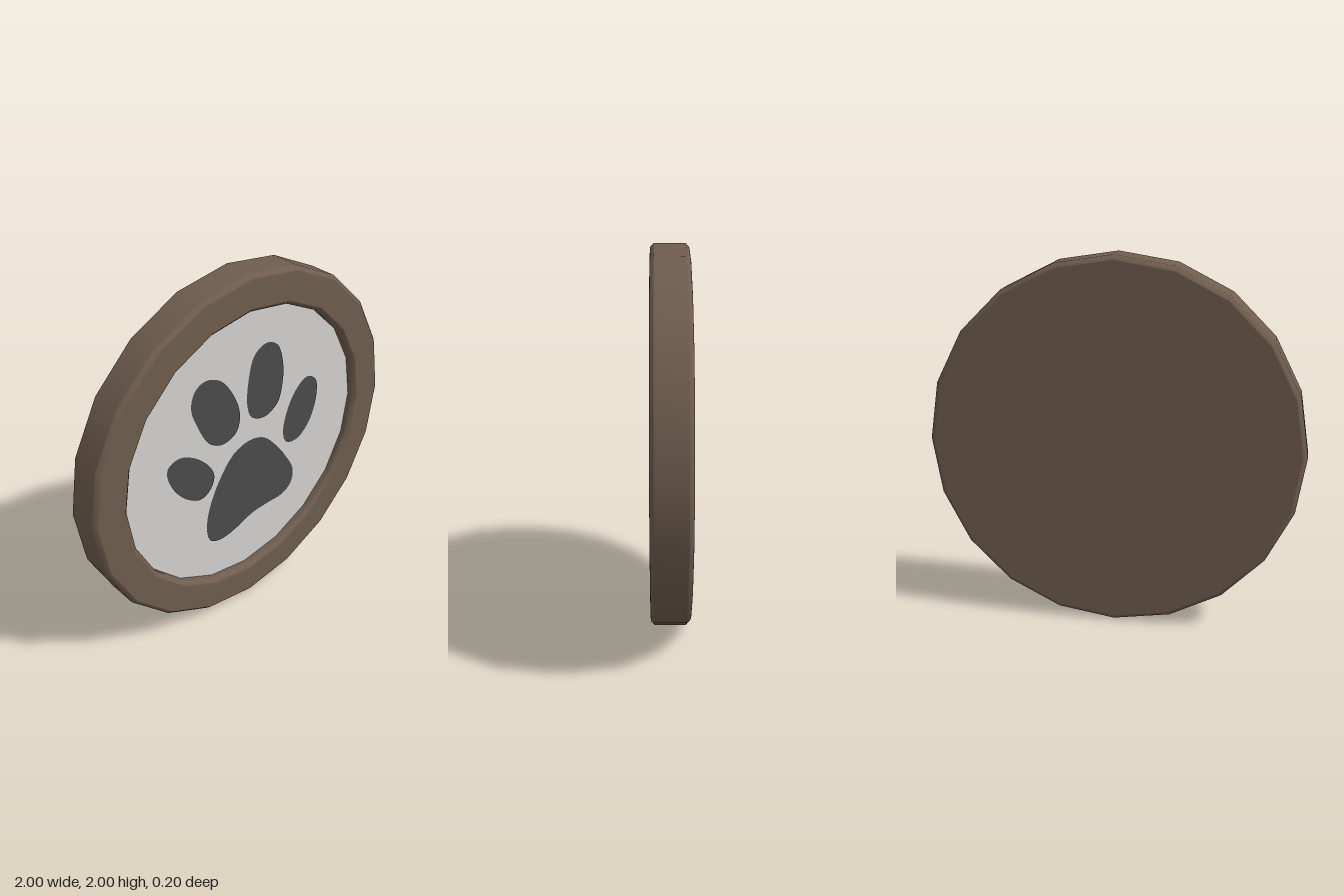
import * as THREE from 'three';

const SIDES = 20;

// Paw outlines as x, y control points around the disc centre
const outlines = {
  outerToeRight: [[-.525, .065], [-.515, .11], [-.445, .135], [-.34, .085], [-.25, -.01],
    [-.22, -.085], [-.245, -.155], [-.31, -.19], [-.40, -.145], [-.485, -.045]],
  innerToeRight: [[-.36, .395], [-.33, .48], [-.265, .508], [-.175, .475], [-.09, .365],
    [-.04, .22], [-.065, .12], [-.155, .087], [-.245, .13], [-.33, .285]],
  innerToeLeft: [[.14, .57], [.22, .53], [.262, .405], [.262, .29], [.23, .18],
    [.14, .13], [.045, .165], [.012, .245], [.018, .395], [.06, .53]],
  outerToeLeft: [[.445, .252], [.515, .21], [.53, .118], [.487, -.037], [.395, -.123],
    [.31, -.112], [.278, -.043], [.30, .085], [.365, .2]],
  mainPad: [[.027, .027], [.13, 0], [.22, -.09], [.30, -.2], [.364, -.325], [.348, -.417],
    [.283, -.46], [.17, -.465], [.05, -.476], [-.055, -.513], [-.17, -.535], [-.25, -.508],
    [-.278, -.422], [-.257, -.283], [-.18, -.123], [-.085, -.01]],
};

function material(name, color) {
  const m = new THREE.MeshStandardMaterial({ color });
  m.name = name;
  return m;
}

export function createModel() {
  const group = new THREE.Group();
  group.name = 'pawMedallion';
  const brown = material('brown', 0x6f5d4e);
  const paleGrey = material('paleGrey', 0xd4d2d0);
  const charcoal = material('charcoal', 0x4b4b4b);

  const add = (name, geometry, mat, z = 0) => {
    const mesh = new THREE.Mesh(geometry, mat);
    mesh.name = name;
    mesh.position.set(0, 1, z);
    group.add(mesh);
    return mesh;
  };

  // Bevelled rim: back edge, outer wall, front face and inner lip
  const profile = [[.975, -.1], [.982, -.098], [.998, -.082], [1, -.075], [1, .075], [.998, .082],
    [.982, .098], [.975, .1], [.825, .1], [.818, .098], [.802, .082], [.8, .075], [.8, .045]]
    .map(([r, h]) => new THREE.Vector2(r, h));
  add('rim', new THREE.LatheGeometry(profile, SIDES).rotateX(Math.PI / 2), brown);

  // Flat back and recessed face
  add('back', new THREE.CircleGeometry(.975, SIDES).rotateY(Math.PI), brown, -.1);
  add('face', new THREE.CircleGeometry(.8, SIDES), paleGrey, .05);

  // Paw print, laid just above the face
  for (const [name, points] of Object.entries(outlines)) {
    const curve = new THREE.CatmullRomCurve3(
      points.map(([x, y]) => new THREE.Vector3(x, y, 0)), true);
    const shape = new THREE.Shape(curve.getPoints(64).slice(0, -1).map(p => new THREE.Vector2(p.x, p.y)));
    add(name, new THREE.ShapeGeometry(shape), charcoal, .055);
  }
  return group;
}
